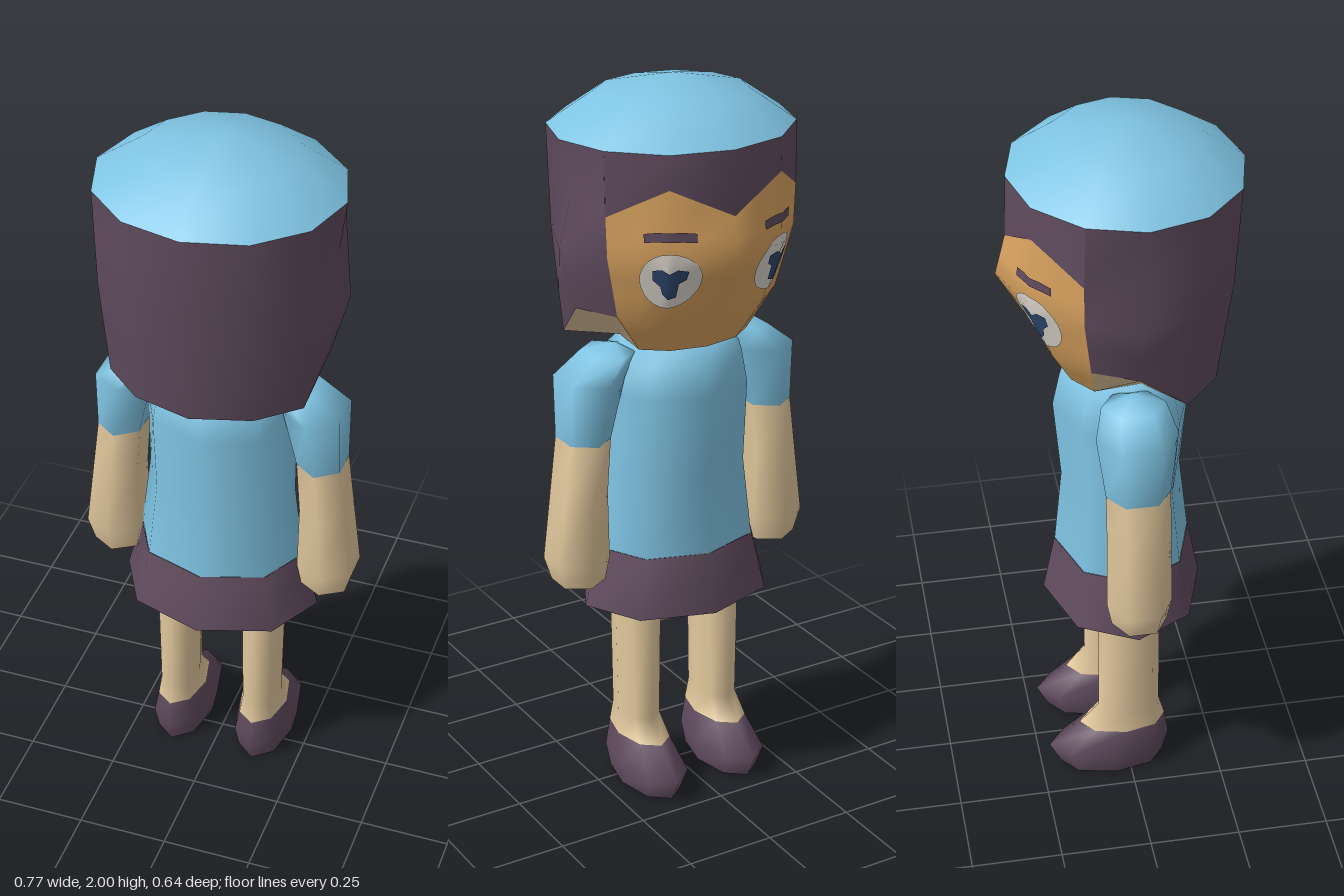
import * as THREE from 'three';
import { mergeVertices } from 'three/addons/utils/BufferGeometryUtils.js';

const mat = (name, color) =>
  new THREE.MeshStandardMaterial({ name, color, side: THREE.DoubleSide });

const lerp = THREE.MathUtils.lerp;

// Smooth surface through rows of points, listed bottom to top
function grid(rows, closed) {
  const n = rows[0].length, index = [];
  const pos = rows.flat(2);
  for (let i = 0; i < rows.length - 1; i++) {
    for (let j = 0; j < (closed ? n : n - 1); j++) {
      const k = (j + 1) % n;
      const a = i * n + j, b = i * n + k, c = a + n, d = b + n;
      index.push(a, c, b, b, c, d);
    }
  }
  let g = new THREE.BufferGeometry();
  g.setAttribute('position', new THREE.Float32BufferAttribute(pos, 3));
  g.setIndex(index);
  g = mergeVertices(g, 1e-5);
  g.computeVertexNormals();
  return g;
}

// Ring of points; [y, centre x, centre z, half width, half depth]
function ring([y, cx, cz, hx, hz], n) {
  const flat = n === 6;
  return Array.from({ length: n }, (_, i) => {
    const a = ((i + (flat ? 0.5 : 0)) / n) * Math.PI * 2;
    return [cx + (hx * Math.cos(a)) / (flat ? 0.866 : 1), y, cz + hz * Math.sin(a)];
  });
}

// Head outline from the front centre round to the back: [x, z] every 30 degrees
const HEAD = [
  [1.31, [[0, -.165], [.1, -.145], [.165, -.095], [.15, .03], [.265, .13], [.16, .225], [0, .27]]],
  [1.42, [[0, -.225], [.145, -.2], [.24, -.115], [.297, 0], [.272, .14], [.16, .24], [0, .28]]],
  [1.59, [[0, -.322], [.165, -.255], [.28, -.138], [.342, 0], [.28, .16], [.16, .265], [0, .3]]],
  [1.72, [[0, -.29], [.165, -.25], [.285, -.138], [.308, 0], [.282, .165], [.162, .272], [0, .31]]],
  [1.87, [[0, -.29], [.165, -.25], [.285, -.135], [.33, .015], [.285, .17], [.165, .28], [0, .32]]],
];

// Point on the head at column u (0 front, +3 left side, 6 back) and height y
function headPoint(u, y, out = 0) {
  const h = u > 6 ? 12 - u : Math.abs(u);
  const side = u < 0 || u > 6 ? -1 : 1;
  const c = Math.min(Math.floor(h), 5);
  let r = 0;
  while (r < HEAD.length - 2 && y > HEAD[r + 1][0]) r++;
  const t = (y - HEAD[r][0]) / (HEAD[r + 1][0] - HEAD[r][0]);
  const at = k => lerp(lerp(HEAD[r][1][c][k], HEAD[r][1][c + 1][k], h - c),
    lerp(HEAD[r + 1][1][c][k], HEAD[r + 1][1][c + 1][k], h - c), t);
  const x = at(0), z = at(1), len = Math.hypot(x, z) || 1;
  return [side * x * (1 + out / len), y, z * (1 + out / len)];
}

const range = (a, b, step) =>
  Array.from({ length: Math.round((b - a) / step) + 1 }, (_, i) => a + i * step);

// Head surface patch: each column supplies its own list of heights
function patch(us, heights) {
  const cols = us.map(u => heights(u).map(y => headPoint(u, y)));
  return grid(cols[0].map((_, i) => cols.map(c => c[i])), false);
}

// Thin painted detail wrapped on the face, outline given as [column, height] offsets
function decal(outline, y, side, out) {
  const rows = [0, 0.5, 1].map(s => outline.map(([du, dy]) =>
    headPoint(side * (1 + du * s), y + dy * s, out)));
  if (side < 0) rows.forEach(r => r.reverse());
  return grid(rows.reverse(), true);
}

export function createModel() {
  const blue = mat('sky blue', 0x7fc4e3);
  const plum = mat('plum', 0x614c5f);
  const skin = mat('pale skin', 0xe3c99e);
  const tan = mat('face tan', 0xdba460);
  const white = mat('eye white', 0xe2ddd4);
  const navy = mat('iris navy', 0x324b74);

  const model = new THREE.Group();
  const add = (name, geo, material, parent = model) => {
    const m = new THREE.Mesh(geo, material);
    m.name = name;
    parent.add(m);
    return m;
  };
  const group = name => {
    const g = new THREE.Group();
    g.name = name;
    model.add(g);
    return g;
  };
  const loft = (name, rings, n, material, parent) =>
    add(name, grid(rings.map(r => ring(r, n)), true), material, parent);

  // Head: face, fringe, hair and cap
  const head = group('head');
  const fringe = u => {
    const h = Math.abs(u);
    return h < 1 ? lerp(1.7, 1.78, h) : lerp(1.78, 1.7, h - 1);
  };
  add('face', patch(range(-2, 2, 0.5),
    u => [1.31, 1.365, 1.42, 1.48, 1.535, 1.59, 1.645, fringe(u)]), tan, head);
  add('fringe', patch(range(-2, 2, 1), u => [fringe(u), 1.87]), plum, head);
  add('hair', patch(range(2, 10, 1), u => {
    const low = u > 3 && u < 9 ? [1.31, 1.42] : [1.42, 1.5];
    return [...low, 1.59, 1.72, 1.87];
  }), plum, head);

  // Tucked-in jaw behind each cheek, and the underside of the head
  for (const s of [1, -1]) {
    const top = [[2, 1.42], [3, 1.42], [4, 1.31]];
    const low = [[2, 1.31], [3, 1.31], [4, 1.31]];
    const rows = [low, top].map(r => r.map(([u, y]) => headPoint(s * u, y)));
    if (s < 0) rows.forEach(r => r.reverse());
    add('jaw', grid(rows, false), skin, head);
  }
  const under = (name, us, material) => add(name,
    grid([us.map(() => [0, 1.31, 0.03]), us.map(u => headPoint(u, 1.31))], false), material, head);
  under('chinUnderside', range(-2, 2, 1), tan);
  under('hairUnderside', range(4, 8, 1), plum);
  under('jawUndersideLeft', [2, 3, 4], skin);
  under('jawUndersideRight', [8, 9, 10], skin);

  const rim = range(0, 11, 1).map(u => headPoint(u, 1.87));
  add('cap', grid([
    rim,
    rim.map(([x, , z]) => [x * 0.62, 1.955, z * 0.62 + 0.003]),
    rim.map(() => [0, 2, 0.01]),
  ], true), blue, head);

  // Eyes and brows
  const oval = range(0, 23, 1).map(i => {
    const a = (i / 24) * Math.PI * 2;
    return [0.5 * Math.sin(a), -0.079 * Math.cos(a)];
  });
  const iris = [[0, -.046], [.1, -.03], [.14, -.008], [.27, .01], [.27, .038], [.12, .042],
    [0, .03], [-.12, .042], [-.28, .036], [-.26, .012], [-.15, 0], [-.13, -.04]];
  const brow = [[0, -.01], [.2, -.012], [.4, -.015], [.4, .008], [.2, .013],
    [0, .014], [-.2, .013], [-.4, .008], [-.4, -.015], [-.2, -.012]];
  for (const s of [1, -1]) {
    add('eye', decal(oval, 1.537, s, 0.004), white, head);
    add('iris', decal(iris, 1.532, s, 0.008), navy, head);
    add('brow', decal(brow, 1.658, s, 0.005), plum, head);
  }

  // Neck, shirt and skirt
  loft('neck', [[1.28, 0, 0.02, .09, .08], [1.33, 0, 0.02, .09, .08]], 8, skin);
  loft('shirt', [
    [.72, 0, .004, .235, .186], [.94, 0, .002, .208, .163], [1.17, 0, .003, .21, .184],
    [1.26, 0, .003, .195, .165], [1.312, 0, .003, .155, .11], [1.315, 0, .003, 0, 0],
  ], 8, blue);
  loft('skirt', [[.555, 0, .004, .28, .22], [.72, 0, .004, .236, .187]], 8, plum);
  loft('skirtUnderside', [[.555, 0, .004, 0, 0], [.555, 0, .004, .28, .22]], 8, plum);

  for (const s of [1, -1]) {
    // Arms
    const side = s > 0 ? 'left' : 'right';
    const arm = group(side + 'Arm');
    const hand = [.645, s * .303, 0, .062, .075];
    const cuff = [1.055, s * .282, 0, .06, .086];
    loft('sleeve', [
      cuff, [1.225, s * .262, 0, .078, .108],
      [1.285, s * .205, 0, .06, .085], [1.305, s * .185, 0, 0, 0],
    ], 6, blue, arm);
    loft('forearm', [hand, [.71, s * .307, 0, .077, .088], [.9, s * .297, 0, .064, .086], cuff],
      6, skin, arm);
    loft('handEnd', [[.645, s * .303, 0, 0, 0], hand], 6, skin, arm);

    // Legs and shoes
    const leg = group(side + 'Leg');
    const x = s * .124;
    const ankle = [.14, x, -.014, .067, .122];
    const sole = [0, x, -.045, .075, .148];
    loft('shin', [ankle, [.2, x, .004, .056, .087], [.58, x, .004, .064, .086]], 8, skin, leg);
    loft('shoe', [sole, [.065, x, -.053, .088, .173], ankle], 8, plum, leg);
    loft('sole', [[0, x, -.045, 0, 0], sole], 8, plum, leg);
  }
  return model;
}
